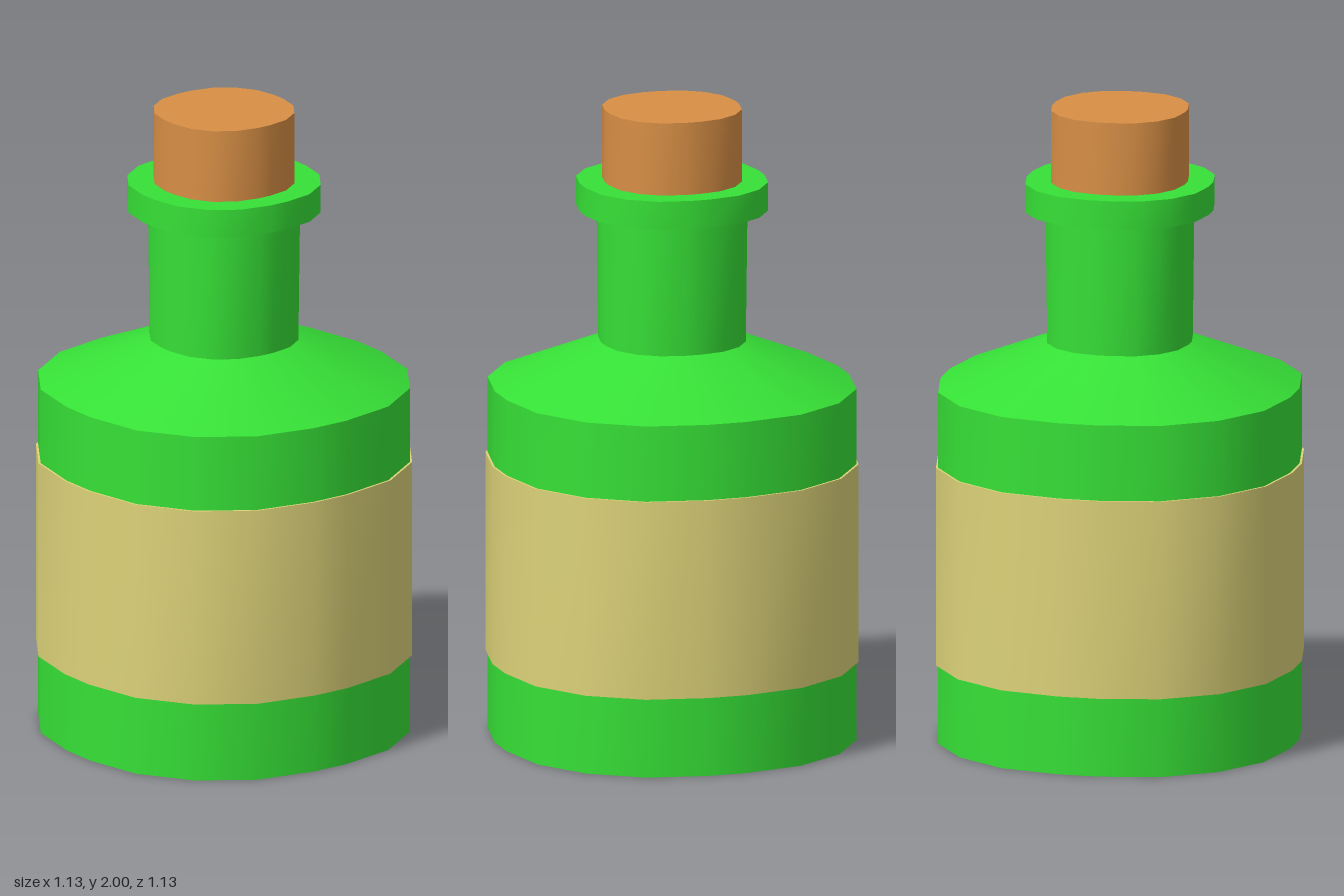
import * as THREE from 'three';

// Unit cross-section: a square with very large rounded corners (20 points).
const FLAT = 0.112;
const SECTION = [];
for (let q = 0; q < 4; q++) {
  const mid = (q + 0.5) * Math.PI / 2;
  const cx = FLAT * Math.sign(Math.cos(mid));
  const cz = FLAT * Math.sign(Math.sin(mid));
  for (let i = 0; i <= 4; i++) {
    const a = (q + i / 4) * Math.PI / 2;
    SECTION.push([cx + (1 - FLAT) * Math.cos(a), cz + (1 - FLAT) * Math.sin(a)]);
  }
}

// Sweeps the section along a [halfWidth, y] profile; each band is smooth
// around the bottle, with a hard edge between bands.
function loft(name, color, profile) {
  const positions = [];
  const index = [];
  const n = SECTION.length;
  for (let b = 0; b < profile.length - 1; b++) {
    const base = positions.length / 3;
    for (const [r, y] of [profile[b], profile[b + 1]]) {
      for (const [x, z] of SECTION) positions.push(x * r, y, z * r);
    }
    for (let i = 0; i < n; i++) {
      const j = (i + 1) % n;
      const lowA = base + i, lowB = base + j;
      const topA = lowA + n, topB = lowB + n;
      if (profile[b][0] > 0) index.push(lowA, topA, lowB);
      if (profile[b + 1][0] > 0) index.push(topA, topB, lowB);
    }
  }
  const geometry = new THREE.BufferGeometry();
  geometry.setAttribute('position', new THREE.Float32BufferAttribute(positions, 3));
  geometry.setIndex(index);
  geometry.computeVertexNormals();
  const mesh = new THREE.Mesh(geometry, new THREE.MeshStandardMaterial({ color }));
  mesh.name = name;
  return mesh;
}

export function createModel() {
  const group = new THREE.Group();
  group.name = 'corkedBottle';
  const green = 0x36e036;

  group.add(
    // Body with sloping shoulder
    loft('body', green, [[0, 0], [0.557, 0], [0.557, 1.12], [0.223, 1.26]]),
    // Neck, widening very slightly upward
    loft('neck', green, [[0.223, 1.26], [0.228, 1.68]]),
    // Flat ring around the mouth
    loft('lip', green, [[0.2, 1.68], [0.29, 1.68], [0.29, 1.77], [0.2, 1.77]]),
    // Paper band wrapped round the body
    loft('label', 0xdcd278, [[0.55, 0.25], [0.564, 0.25], [0.564, 0.88], [0.55, 0.88]]),
    // Stopper
    loft('cork', 0xd88f45, [[0, 1.7], [0.211, 1.7], [0.211, 2], [0, 2]]),
  );
  return group;
}
